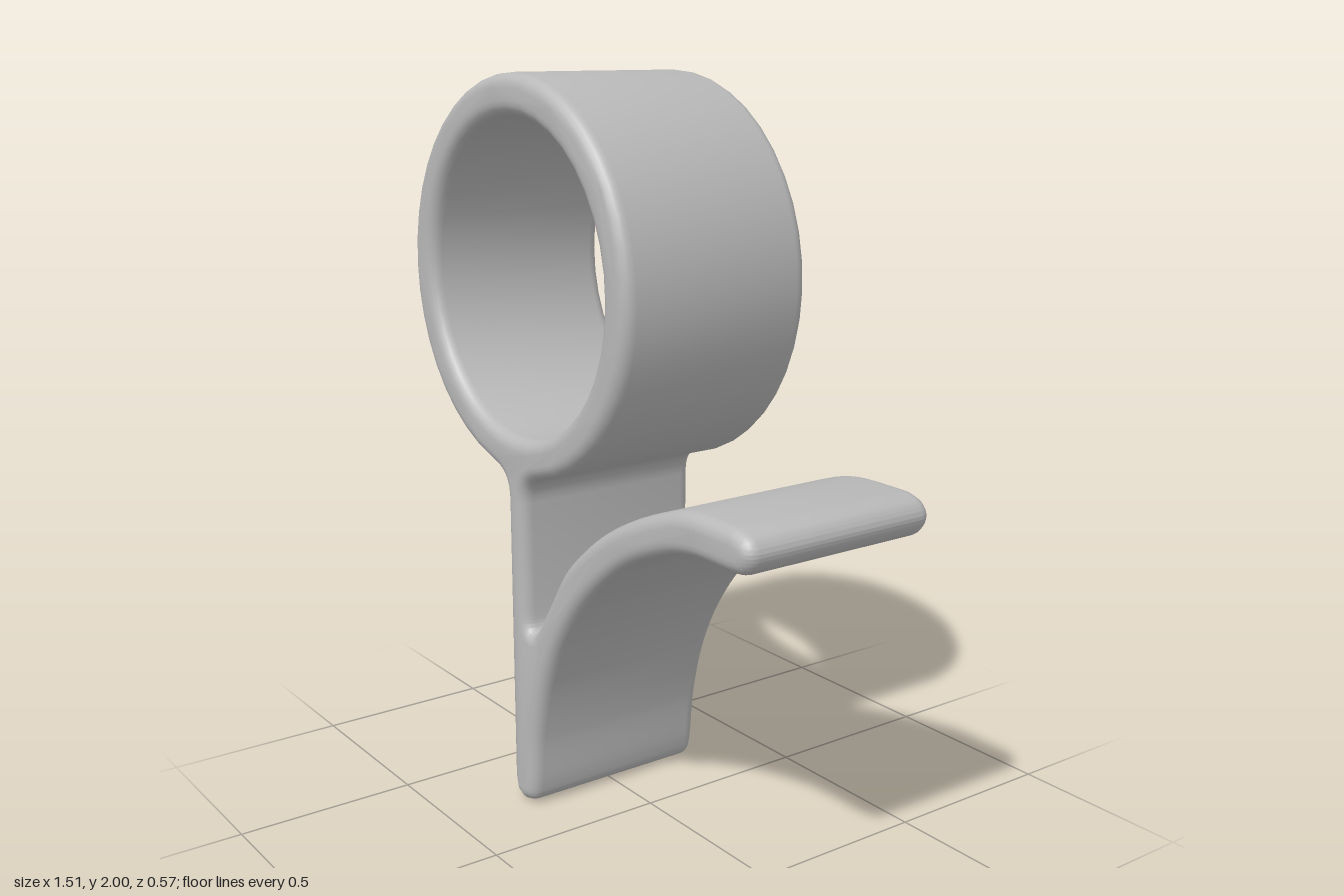
import * as THREE from 'three';
import { toCreasedNormals } from 'three/addons/utils/BufferGeometryUtils.js';

const HALF_DEPTH = 0.283, BEVEL = 0.036;
const RING = { x: -0.235, y: 1.475, outer: 0.525, inner: 0.419 };

const points = (list) => list.map(([x, y]) => new THREE.Vector2(x, y));

// One continuous outline: curved leaf, straight stem and ring
function clipOutline() {
  const s = new THREE.Shape();
  s.moveTo(-0.22, 0.005);
  // rounded foot and underside of the curved leaf, out to its tip
  s.splineThru(points([
    [-0.183, 0.022], [-0.167, 0.07], [-0.15, 0.22], [-0.105, 0.385], [-0.03, 0.535],
    [0.08, 0.675], [0.24, 0.81], [0.4, 0.89], [0.53, 0.925], [0.69, 0.928],
    [0.737, 0.945], [0.755, 0.985], [0.735, 1.02], [0.69, 1.036],
  ]));
  // upper side of the leaf, back down to the fork
  s.splineThru(points([
    [0.52, 1.033], [0.4, 1.0], [0.25, 0.935], [0.12, 0.855], [0.0, 0.75],
    [-0.08, 0.635], [-0.14, 0.545], [-0.168, 0.522], [-0.188, 0.54], [-0.195, 0.6],
  ]));
  // stem, flared into the ring
  s.lineTo(-0.195, 0.87);
  s.bezierCurveTo(-0.195, 0.935, -0.17, 0.95, -0.11, 0.965);
  s.absarc(RING.x, RING.y, RING.outer, -1.33, Math.PI * 1.5 - 0.24, false);
  s.bezierCurveTo(-0.3, 0.95, -0.277, 0.935, -0.277, 0.87);
  s.lineTo(-0.277, 0.07);
  s.splineThru(points([[-0.262, 0.022], [-0.22, 0.005]]));

  const hole = new THREE.Path();
  hole.absarc(RING.x, RING.y, RING.inner, 0, Math.PI * 2, true);
  s.holes.push(hole);
  return s;
}

export function createModel() {
  const group = new THREE.Group();
  const grey = new THREE.MeshStandardMaterial({ color: 0xb8b8b8 });
  grey.name = 'light grey';

  // Extruded with softly rounded rims
  const geometry = new THREE.ExtrudeGeometry(clipOutline(), {
    depth: 2 * (HALF_DEPTH - BEVEL),
    curveSegments: 20,
    bevelEnabled: true,
    bevelThickness: BEVEL,
    bevelSize: BEVEL,
    bevelOffset: -BEVEL,
    bevelSegments: 5,
  });
  geometry.translate(0, 0, -(HALF_DEPTH - BEVEL));
  geometry.deleteAttribute('uv');

  const clip = new THREE.Mesh(toCreasedNormals(geometry, 0.7), grey);
  clip.name = 'ringStemAndLeaf';
  group.add(clip);
  return group;
}
